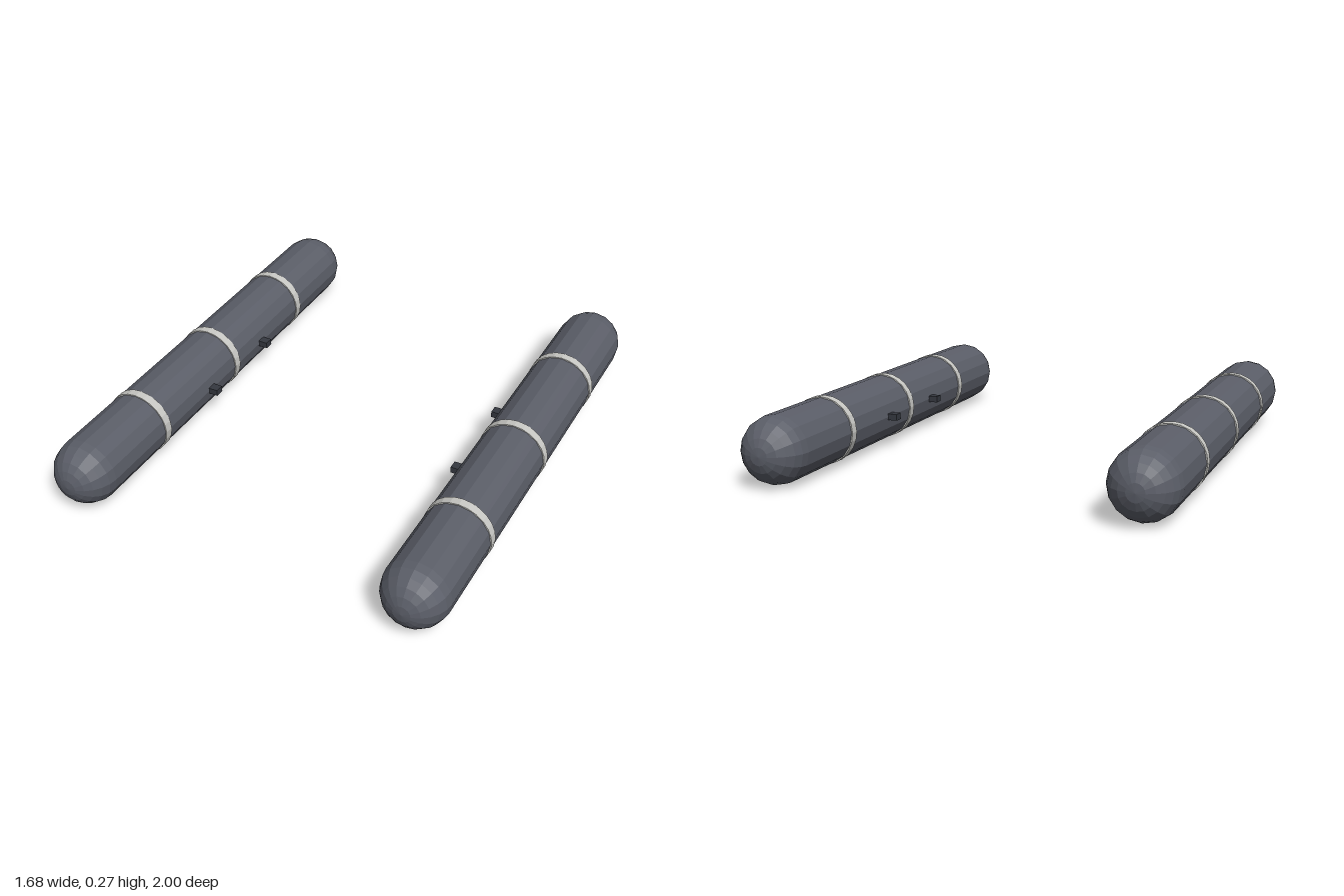
import * as THREE from 'three';

const RADIUS = 0.133, AXIS_X = 0.703, AXIS_Y = 0.14;

export function createModel() {
  const mat = (name, color, flatShading = true) => {
    const m = new THREE.MeshStandardMaterial({ color, flatShading });
    m.name = name;
    return m;
  };
  const tubeGrey = mat('tube grey', 0x5b5e68);
  const bandGrey = mat('pale band grey', 0xc8c8c4);
  const bracketDark = mat('dark bracket grey', 0x353840);

  // Shared geometries, lying along z
  const tubeGeo = new THREE.CapsuleGeometry(RADIUS, 2 - 2 * RADIUS, 6, 16).rotateX(Math.PI / 2);
  const bandGeo = new THREE.CylinderGeometry(0.1365, 0.1365, 0.036, 24).rotateX(Math.PI / 2);
  const bracketGeo = new THREE.BoxGeometry(0.06, 0.026, 0.038);

  const model = new THREE.Group();
  model.name = 'floatPair';
  for (const [side, name] of [[1, 'left'], [-1, 'right']]) {
    const float = new THREE.Group();
    float.name = name + 'Float';
    float.position.set(side * AXIS_X, AXIS_Y, 0);
    const add = (part, geo, material, x = 0, z = 0) => {
      const mesh = new THREE.Mesh(geo, material);
      mesh.name = part;
      mesh.position.set(x, 0, z);
      float.add(mesh);
    };

    // Round-ended tube
    add('floatTube', tubeGeo, tubeGrey);
    // Three bands round the tube
    for (const z of [-0.52, 0, 0.52]) add('band', bandGeo, bandGrey, 0, z);
    // Two mounting brackets on the inner side
    for (const z of [-0.2, 0.2]) add('innerBracket', bracketGeo, bracketDark, -side * 0.14, z);
    model.add(float);
  }
  return model;
}
